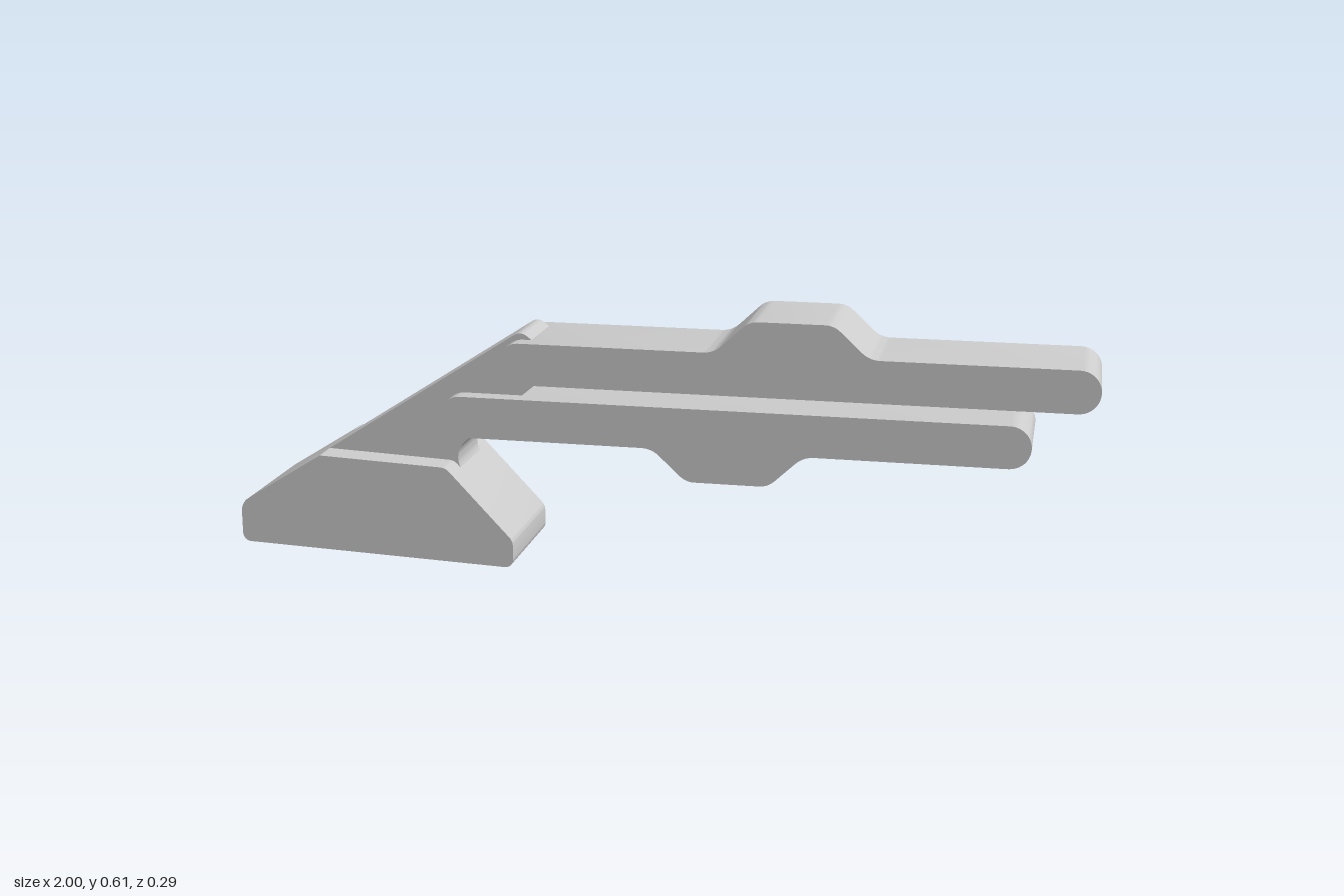
import * as THREE from 'three';
import { toCreasedNormals } from 'three/addons/utils/BufferGeometryUtils.js';

const material = new THREE.MeshStandardMaterial({ color: 0xcccccc });

// Polygon outline from [x, y, cornerRadius] points, each corner replaced by an arc
function roundedShape(points) {
  const out = [];
  points.forEach(([x, y, r = 0], i) => {
    const p = new THREE.Vector2(x, y);
    if (!r) return out.push(p);
    const before = points[(i + points.length - 1) % points.length];
    const after = points[(i + 1) % points.length];
    const u = new THREE.Vector2(before[0] - x, before[1] - y).normalize();
    const v = new THREE.Vector2(after[0] - x, after[1] - y).normalize();
    const half = Math.acos(u.dot(v)) / 2;
    const centre = u.clone().add(v).normalize().multiplyScalar(r / Math.sin(half)).add(p);
    const start = u.clone().multiplyScalar(r / Math.tan(half)).add(p).sub(centre).angle();
    const end = v.clone().multiplyScalar(r / Math.tan(half)).add(p).sub(centre).angle();
    let sweep = end - start;
    if (sweep > Math.PI) sweep -= 2 * Math.PI;
    if (sweep < -Math.PI) sweep += 2 * Math.PI;
    const n = Math.max(4, Math.ceil(Math.abs(sweep) / 0.16));
    for (let k = 0; k <= n; k++) {
      const a = start + (sweep * k) / n;
      out.push(new THREE.Vector2(centre.x + r * Math.cos(a), centre.y + r * Math.sin(a)));
    }
  });
  return new THREE.Shape(out);
}

// Slab with the given side outline, centred on z = 0
function slab(name, points, width) {
  const geometry = new THREE.ExtrudeGeometry(roundedShape(points), { depth: width, bevelEnabled: false });
  geometry.translate(0, 0, -width / 2);
  const mesh = new THREE.Mesh(toCreasedNormals(geometry, 0.4), material);
  mesh.name = name;
  return mesh;
}

export function createModel() {
  const model = new THREE.Group();
  model.name = 'clamp';

  // Wedge-shaped foot
  model.add(slab('foot', [
    [-1, 0.022, 0.02], [-1, 0.118, 0.04], [-0.795, 0.247], [-0.485, 0.235, 0.03],
    [-0.325, 0.066, 0.03], [-0.325, 0, 0.02],
  ], 0.29));

  // Slanted neck, flush with the foot's slope and filleted underneath
  model.add(slab('neck', [
    [-0.795, 0.247], [-0.316, 0.555, 0.025], [-0.27, 0.52, 0.012], [-0.27, 0.44],
    [-0.5, 0.246, 0.055], [-0.44, 0.184], [-0.5, 0.15], [-0.75, 0.15],
  ], 0.156));

  // Two bars with a raised pad; the lower one is mirrored and shifted back
  const bar = [
    [-0.36, 0.437, 0.0488], [-0.36, 0.535, 0.0488],
    [0.145, 0.535, 0.06], [0.225, 0.61, 0.05], [0.415, 0.61, 0.05], [0.495, 0.535, 0.06],
    [1, 0.535, 0.0488], [1, 0.437, 0.0488],
  ];
  model.add(slab('upperBar', bar, 0.242));
  model.add(slab('lowerBar', bar.map(([x, y, r]) => [x - 0.143, 0.839 - y, r]), 0.242));

  return model;
}
